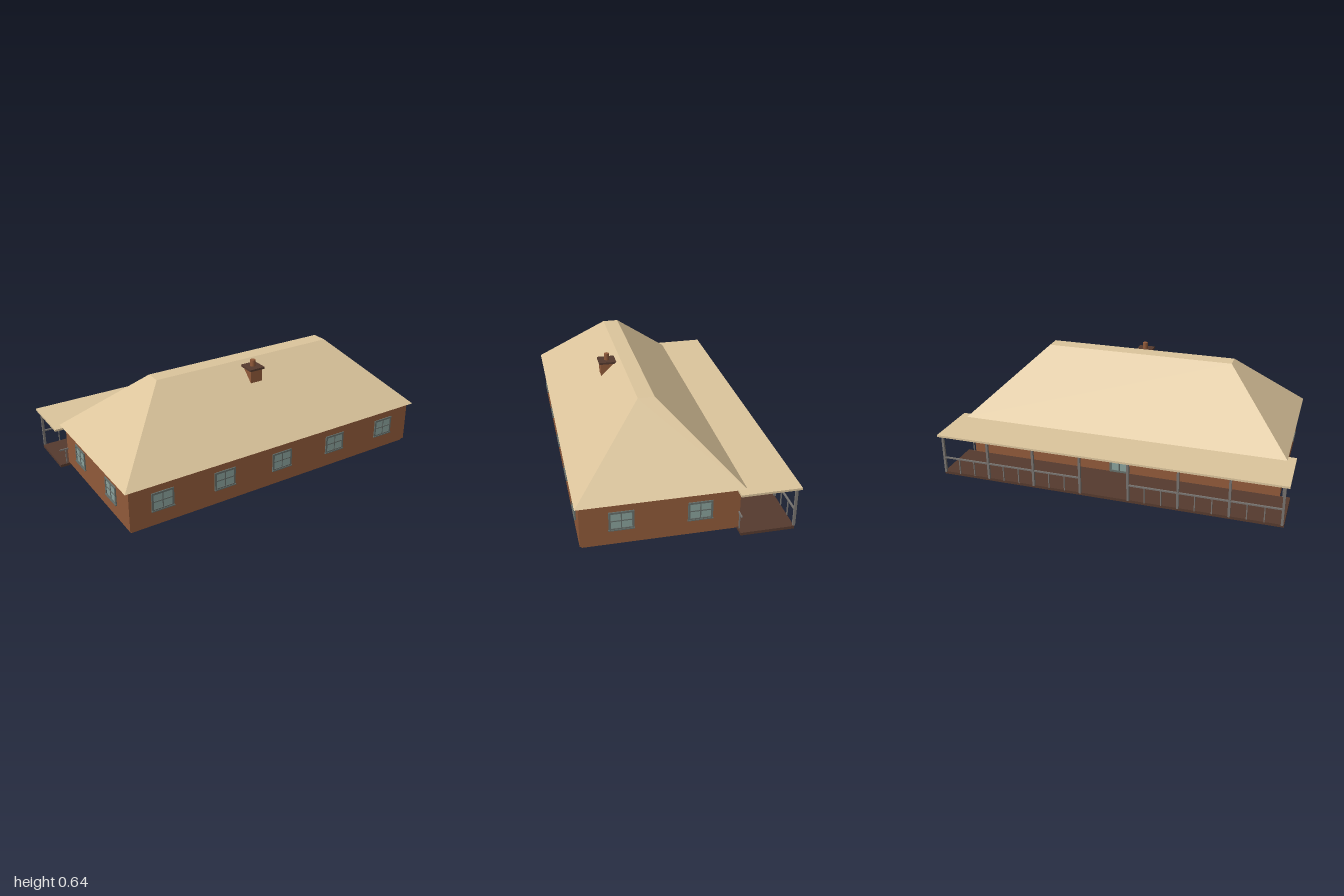
import * as THREE from 'three';
import { ConvexGeometry } from 'three/addons/geometries/ConvexGeometry.js';

const mat = (name, color) => {
  const m = new THREE.MeshStandardMaterial({ color });
  m.name = name;
  return m;
};

export function createModel() {
  const brick = mat('brick', 0x915a3a);
  const thatch = mat('roofing', 0xdcc59c);
  const timber = mat('darkTimber', 0x553a2e);
  const metal = mat('postGrey', 0x77736f);
  const frameGrey = mat('frameGrey', 0x66706b);
  const glass = mat('glass', 0x8aa29c);

  const house = new THREE.Group();
  house.name = 'house';

  // Box given by its limits on each axis
  const box = (name, material, x0, x1, y0, y1, z0, z1, parent = house) => {
    const mesh = new THREE.Mesh(new THREE.BoxGeometry(x1 - x0, y1 - y0, z1 - z0), material);
    mesh.position.set((x0 + x1) / 2, (y0 + y1) / 2, (z0 + z1) / 2);
    mesh.name = name;
    parent.add(mesh);
    return mesh;
  };

  // Walls on a slightly inset plinth
  box('plinth', brick, -0.92, 0.92, 0.004, 0.018, -0.268, 0.542);
  box('walls', brick, -0.93, 0.93, 0.018, 0.245, -0.275, 0.552);

  // Hipped main roof with a flat ridge
  const rect = (x, y, z0, z1) =>
    [[-x, z0], [x, z0], [x, z1], [-x, z1]].map(([px, pz]) => new THREE.Vector3(px, y, pz));
  const roof = new THREE.Mesh(
    new ConvexGeometry([...rect(0.955, 0.257, -0.3, 0.573), ...rect(0.563, 0.625, 0.092, 0.181)]),
    thatch
  );
  roof.name = 'mainRoof';
  house.add(roof);

  // Chimney with cap and pot
  const chimney = new THREE.Group();
  chimney.name = 'chimney';
  house.add(chimney);
  box('chimneyStack', brick, -0.037, 0.037, 0.48, 0.596, 0.213, 0.291, chimney);
  box('chimneyCap', timber, -0.047, 0.047, 0.595, 0.606, 0.203, 0.301, chimney);
  const pot = new THREE.Mesh(new THREE.CylinderGeometry(0.015, 0.015, 0.04, 10), brick);
  pot.position.set(0, 0.624, 0.252);
  pot.name = 'chimneyPot';
  chimney.add(pot);

  // Framed glazing, built facing +z about its own centre, then turned to its wall
  const glazing = (name, x, y, z, turn, w, h, sill) => {
    const g = new THREE.Group();
    g.name = name;
    const a = w / 2, b = h / 2, t = 0.011;
    box('pane', glass, -a + t, a - t, -b + t, b - t, 0, 0.002, g);
    for (const s of [-1, 1]) {
      const cx = s * (a - t / 2), cy = s * (b - t / 2);
      box('frameSide', frameGrey, cx - t / 2, cx + t / 2, -b, b, 0, 0.006, g);
      box('frameEnd', frameGrey, -a + t, a - t, cy - t / 2, cy + t / 2, 0, 0.006, g);
    }
    box('mullion', frameGrey, -0.003, 0.003, -b + t, b - t, 0, 0.005, g);
    box('transom', frameGrey, -a + t, a - t, -0.003, 0.003, 0, 0.0045, g);
    if (sill) box('sill', frameGrey, -a - 0.002, a + 0.002, -b - 0.002, -b + 0.004, 0, 0.009, g);
    g.position.set(x, y, z);
    g.rotation.y = turn;
    house.add(g);
  };
  for (const x of [-0.742, -0.371, 0, 0.371, 0.742]) {
    glazing('frontWindow', x, 0.15, 0.552, 0, 0.128, 0.106, true);
    if (x !== 0) glazing('backWindow', x, 0.15, -0.275, Math.PI, 0.128, 0.106, true);
  }
  for (const s of [-1, 1])
    for (const z of [0.34, -0.065])
      glazing('sideWindow', s * 0.93, 0.15, z, s * Math.PI / 2, 0.13, 0.106, true);
  glazing('backDoor', 0, 0.114, -0.275, Math.PI, 0.12, 0.19, false);

  // Veranda floor and roof
  const veranda = new THREE.Group();
  veranda.name = 'veranda';
  house.add(veranda);
  box('verandaFloor', timber, -0.985, 0.985, 0, 0.016, -0.555, -0.266, veranda);
  box('verandaRoof', thatch, -1, 1, 0.245, 0.2565, -0.575, -0.253, veranda);

  // Eight posts with railings, leaving the middle bay open
  const bay = 1.95 / 7;
  for (let i = 0; i < 8; i++) {
    const x = -0.975 + i * bay;
    box('post', metal, x - 0.0065, x + 0.0065, 0.014, 0.246, -0.562, -0.549, veranda);
    if (i === 3 || i === 7) continue;
    box('rail', metal, x, x + bay, 0.105, 0.113, -0.56, -0.551, veranda);
    for (let k = 1; k < 3; k++) {
      const bx = x + (bay * k) / 3;
      box('baluster', metal, bx - 0.003, bx + 0.003, 0.014, 0.107, -0.5585, -0.5525, veranda);
    }
  }

  // Short railing returns beside the house corners
  for (const s of [-1, 1]) {
    const xs = [s * 0.925, s * 0.98].sort((a, b) => a - b);
    box('returnRail', metal, xs[0], xs[1], 0.105, 0.113, -0.273, -0.266, veranda);
    box('returnPost', metal, s * 0.945 - 0.003, s * 0.945 + 0.003, 0.014, 0.107, -0.273, -0.267, veranda);
  }
  return house;
}
